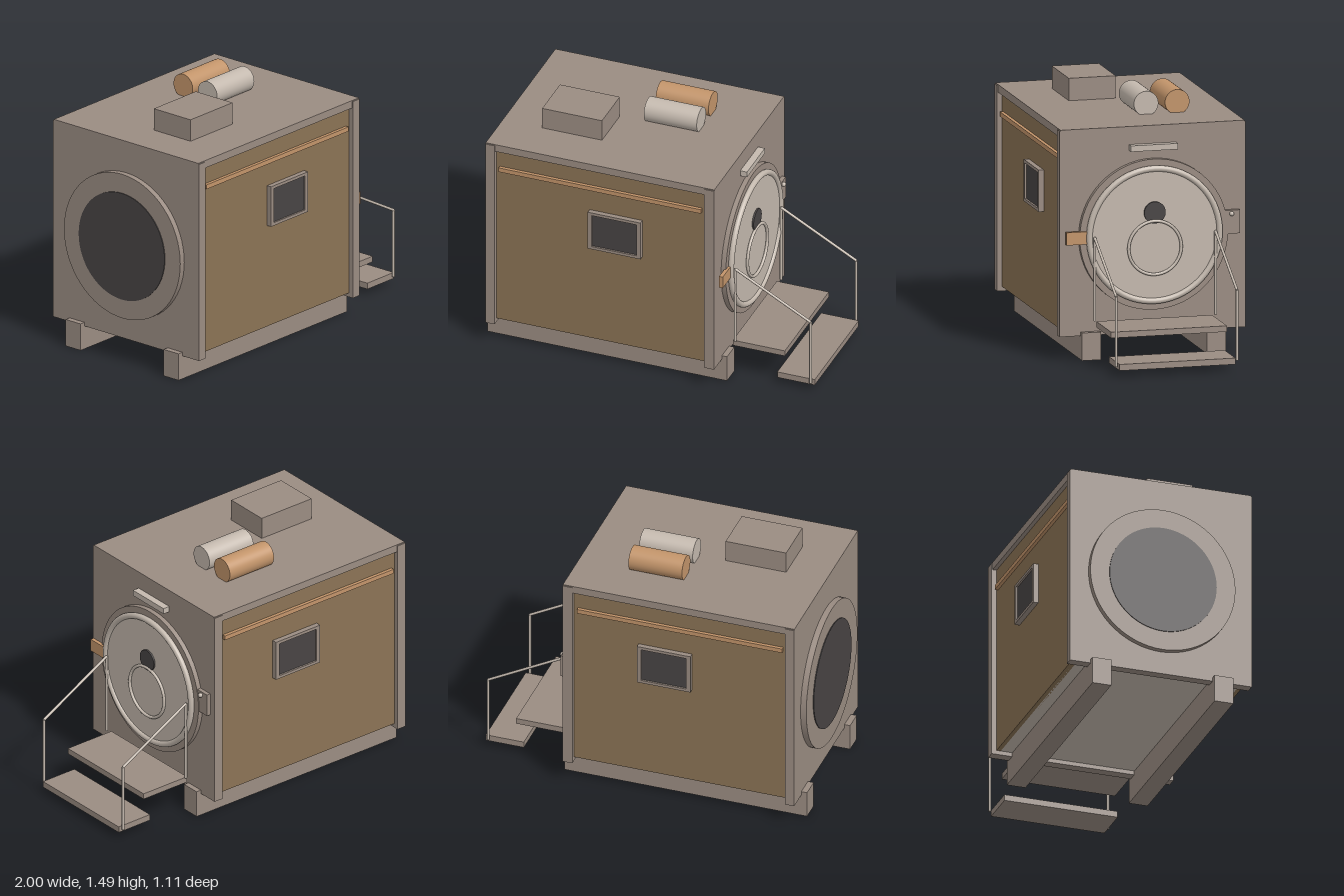
import * as THREE from 'three';

const mat = (name, color) => {
  const m = new THREE.MeshStandardMaterial({ color });
  m.name = name;
  return m;
};

export function createModel() {
  const shell = mat('warm grey shell', 0x9a8c82);
  const cream = mat('pale metal', 0xc4b9ae);
  const copper = mat('copper', 0xc2946a);
  const wood = mat('brown panel', 0x8b7355);
  const dark = mat('dark glass', 0x484444);

  const model = new THREE.Group();
  const add = (name, geometry, material) => {
    const mesh = new THREE.Mesh(geometry, material);
    mesh.name = name;
    model.add(mesh);
    return mesh;
  };
  // Box given by its limits on each axis
  const box = (name, material, x0, x1, y0, y1, z0, z1) =>
    add(name, new THREE.BoxGeometry(x1 - x0, y1 - y0, z1 - z0), material)
      .position.set((x0 + x1) / 2, (y0 + y1) / 2, (z0 + z1) / 2);
  // Cylinder lying along x
  const drum = (name, material, x0, x1, r, y, z) =>
    add(name, new THREE.CylinderGeometry(r, r, x1 - x0, 64).rotateZ(-Math.PI / 2), material)
      .position.set((x0 + x1) / 2, y, z);
  // Ring facing along x
  const ring = (name, material, x, y, r, tube) =>
    add(name, new THREE.TorusGeometry(r, tube, 16, 72).rotateY(Math.PI / 2), material)
      .position.set(x, y, 0);
  // Round bar between two points
  const rod = (name, material, a, b, r) => {
    const d = b.clone().sub(a);
    const mesh = add(name, new THREE.CylinderGeometry(r, r, d.length(), 12), material);
    mesh.position.copy(a).addScaledVector(d, 0.5);
    mesh.quaternion.setFromUnitVectors(new THREE.Vector3(0, 1, 0), d.normalize());
  };

  // Cabin: floor and core, end walls, roof
  box('cabinCore', cream, -0.91, 0.4, 0.165, 1.315, -0.5, 0.5);
  box('leftEndWall', shell, -0.96, -0.903, 0.14, 1.35, -0.555, 0.555);
  box('rightEndWall', shell, 0.395, 0.455, 0.14, 1.35, -0.555, 0.555);
  box('roof', shell, -0.96, 0.455, 1.31, 1.356, -0.55, 0.55);

  // Both long sides: panel, trim, window and skid
  for (const s of [1, -1]) {
    const sideBox = (name, material, x0, x1, y0, y1, a, b) =>
      box(name, material, x0, x1, y0, y1, Math.min(s * a, s * b), Math.max(s * a, s * b));
    sideBox('sidePanel', wood, -0.904, 0.396, 0.165, 1.311, 0.49, 0.525);
    sideBox('trimStrip', copper, -0.882, 0.37, 1.173, 1.2, 0.525, 0.545);
    sideBox('skid', shell, -0.995, 0.487, 0, 0.163, 0.316, 0.43);

    const frame = new THREE.Shape();
    frame.moveTo(-0.163, -0.123).lineTo(0.163, -0.123).lineTo(0.163, 0.123).lineTo(-0.163, 0.123);
    const hole = new THREE.Path();
    hole.moveTo(-0.138, -0.105).lineTo(-0.138, 0.105).lineTo(0.138, 0.105).lineTo(0.138, -0.105);
    frame.holes.push(hole);
    add('windowFrame', new THREE.ExtrudeGeometry(frame, { depth: 0.033, bevelEnabled: false }), shell)
      .position.set(-0.163, 0.909, s > 0 ? 0.523 : -0.556);
    sideBox('windowGlass', dark, -0.302, -0.024, 0.803, 1.015, 0.524, 0.545);
  }

  // Round port on the left end
  drum('rearFlange', shell, -0.995, -0.955, 0.443, 0.72, 0);
  drum('rearPortGlass', dark, -1, -0.992, 0.327, 0.72, 0);

  // Round door on the right end
  drum('doorFlange', shell, 0.45, 0.484, 0.443, 0.72, 0);
  drum('door', cream, 0.48, 0.498, 0.39, 0.72, 0);
  ring('doorRim', cream, 0.495, 0.72, 0.389, 0.018);
  ring('doorHandwheel', cream, 0.507, 0.646, 0.157, 0.009);
  drum('doorPeephole', dark, 0.495, 0.508, 0.064, 0.852, 0);
  box('doorHinge', copper, 0.475, 0.498, 0.685, 0.76, 0.39, 0.525);
  box('latchPlate', shell, 0.453, 0.48, 0.698, 0.836, -0.515, -0.41);
  add('latchKnob', new THREE.SphereGeometry(0.014, 16, 12), cream).position.set(0.487, 0.816, -0.464);
  box('doorLamp', cream, 0.453, 0.497, 1.215, 1.25, -0.14, 0.14);

  // Entry steps and handrails
  box('upperStep', shell, 0.49, 0.812, 0.193, 0.228, -0.346, 0.346);
  box('lowerStep', shell, 0.765, 0.997, 0.038, 0.075, -0.346, 0.346);
  for (const z of [-0.361, 0.361]) {
    const p = [[0.511, 0.235], [0.511, 0.724], [0.977, 0.469], [0.977, 0.058]]
      .map(([x, y]) => new THREE.Vector3(x, y, z));
    for (let i = 0; i < 3; i++) rod('handrail', cream, p[i], p[i + 1], 0.008);
  }

  // Roof equipment
  box('roofUnit', shell, -0.716, -0.346, 1.35, 1.488, 0, 0.28);
  drum('paleTank', cream, -0.187, 0.14, 0.073, 1.418, -0.048);
  drum('copperTank', copper, -0.187, 0.14, 0.073, 1.418, -0.234);

  return model;
}
